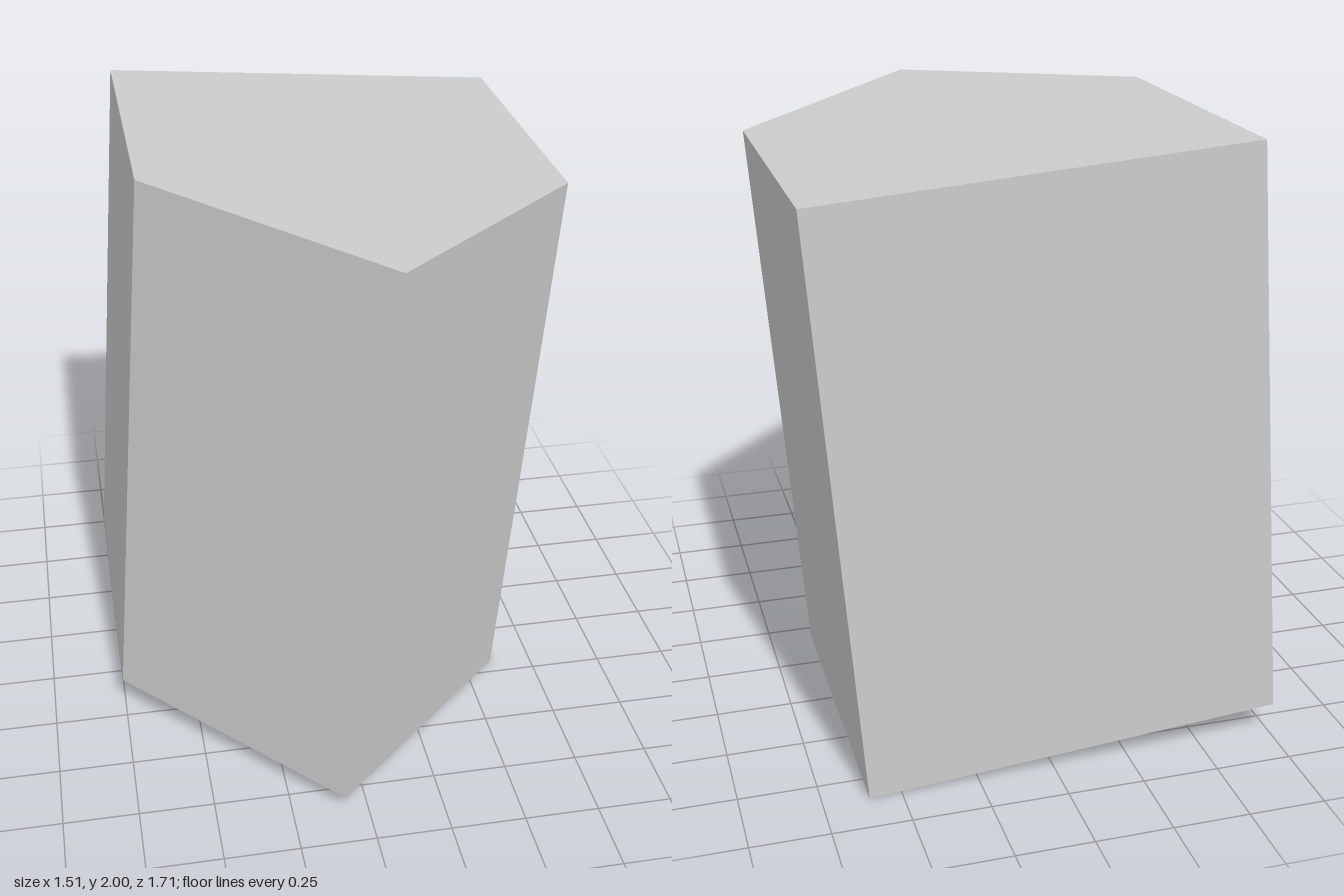
import * as THREE from 'three';

const WIDTH = 1.363, HEIGHT = 1.897, DEPTH = 1.714, SHOULDER_Z = 0.187, TILT = -0.08;

export function createModel() {
  const group = new THREE.Group();

  // Five-sided outline: square back, pointed front
  const w = WIDTH / 2, d = DEPTH / 2;
  const outline = new THREE.Shape([
    new THREE.Vector2(-w, -d),
    new THREE.Vector2(w, -d),
    new THREE.Vector2(w, SHOULDER_Z),
    new THREE.Vector2(0, d),
    new THREE.Vector2(-w, SHOULDER_Z),
  ]);

  // Stand the prism upright, centred on its own origin
  const geometry = new THREE.ExtrudeGeometry(outline, { depth: HEIGHT, bevelEnabled: false });
  geometry.translate(0, 0, -HEIGHT / 2);
  geometry.rotateX(Math.PI / 2);

  // Lean it sideways so that its lowest edge rests on the ground
  const prism = new THREE.Mesh(
    geometry,
    new THREE.MeshStandardMaterial({ color: 0xcccccc, flatShading: true })
  );
  prism.name = 'pentagonalPrism';
  prism.rotation.z = TILT;
  prism.position.y = 1;
  group.add(prism);

  return group;
}
